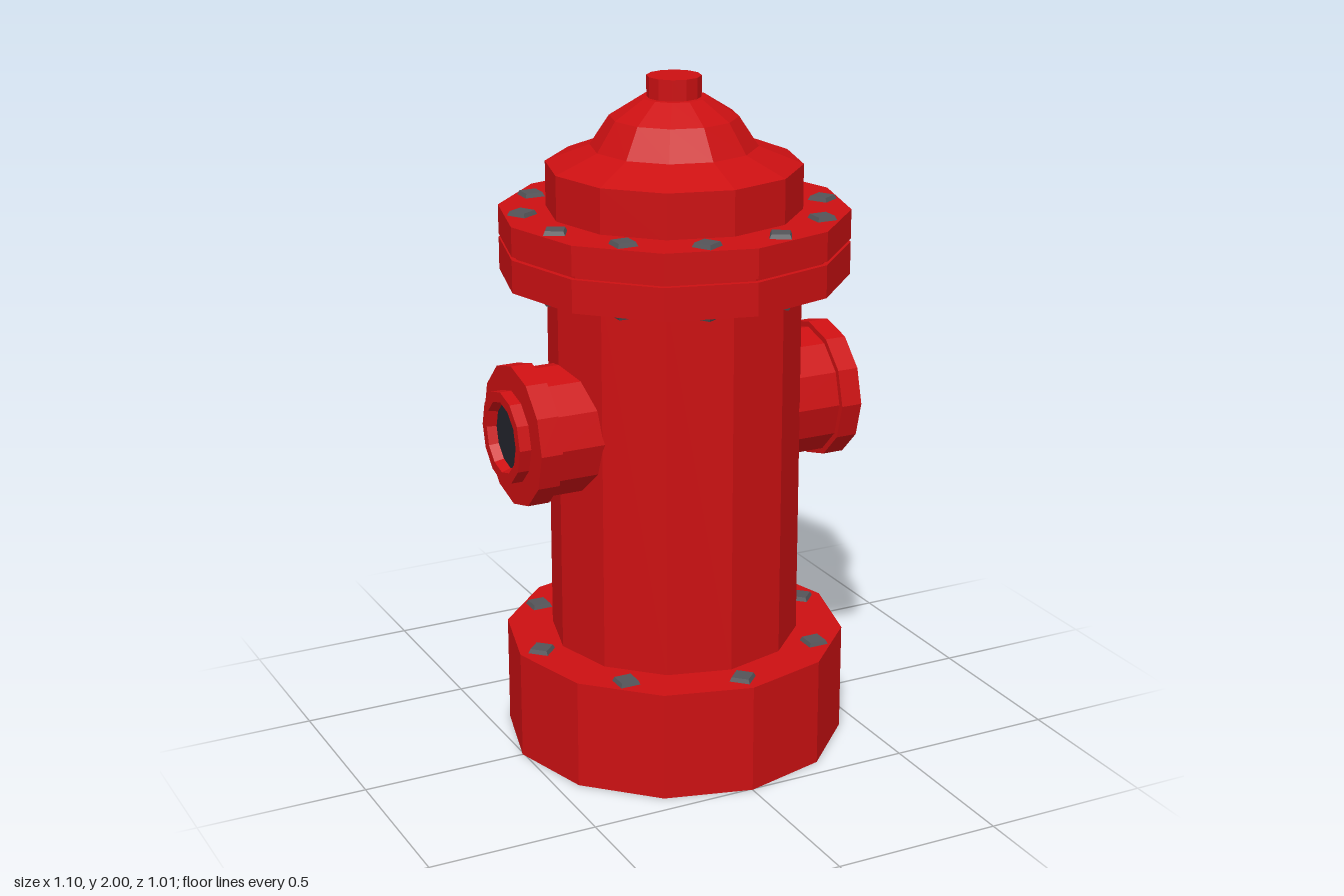
import * as THREE from 'three';

export function createModel() {
  const red = new THREE.MeshStandardMaterial({ color: 0xcc1012, flatShading: true, side: THREE.DoubleSide });
  red.name = 'hydrant red';
  const steel = new THREE.MeshStandardMaterial({ color: 0x545458, flatShading: true });
  steel.name = 'bolt grey';
  const dark = new THREE.MeshStandardMaterial({ color: 0x23242c, flatShading: true });
  dark.name = 'opening dark';

  const model = new THREE.Group();
  model.name = 'fireHydrant';

  // Twelve-sided turned part from [radius, height] pairs, bottom to top
  function turned(name, profile, parent = model) {
    const points = profile.map(([r, y]) => new THREE.Vector2(r, y));
    const mesh = new THREE.Mesh(new THREE.LatheGeometry(points, 12), red);
    mesh.name = name;
    parent.add(mesh);
    return mesh;
  }

  // Hollow base, open underneath
  turned('base', [[0.505, 0], [0.505, 0.325], [0.3, 0.325]]);

  // Barrel
  turned('barrel', [[0, 0.315], [0.368, 0.315], [0.368, 1.45]]);

  // Pair of bolted flanges with a thin gasket between them
  turned('lowerFlange', [[0.34, 1.43], [0.505, 1.43], [0.505, 1.525], [0.34, 1.525]]);
  turned('gasket', [[0.49, 1.52], [0.49, 1.54]]);
  turned('upperFlange', [[0.34, 1.535], [0.505, 1.535], [0.505, 1.62], [0.34, 1.62]]);

  // Bonnet, dome and operating nut
  turned('bonnet', [[0.368, 1.61], [0.368, 1.75], [0.24, 1.8]]);
  turned('dome', [[0.24, 1.8], [0.184, 1.885], [0.096, 1.94], [0, 1.94]]);
  turned('topNut', [[0.078, 1.935], [0.078, 2], [0, 2]]);

  // Ring of square tapered bolt heads; dir = -1 points them downward
  function boltRing(name, count, offset, y, dir, height) {
    const ring = new THREE.Group();
    ring.name = name;
    const head = new THREE.CylinderGeometry(0.036, 0.043, height, 4);
    for (let i = 0; i < count; i++) {
      const angle = offset + (i / count) * Math.PI * 2;
      const bolt = new THREE.Mesh(head, steel);
      bolt.name = 'bolt';
      bolt.position.set(Math.sin(angle) * 0.437, y + dir * height / 2, Math.cos(angle) * 0.437);
      bolt.rotation.set(dir < 0 ? Math.PI : 0, angle, 0, 'YXZ');
      ring.add(bolt);
    }
    model.add(ring);
  }
  boltRing('baseBolts', 8, 0, 0.325, 1, 0.012);
  boltRing('baseBoltEnds', 8, 0, 0.325, -1, 0.02);
  boltRing('upperFlangeBolts', 12, Math.PI / 12, 1.62, 1, 0.012);
  boltRing('lowerFlangeBolts', 12, Math.PI / 12, 1.43, -1, 0.012);

  // Side outlets, turned along their own axis and laid out to each side
  for (const side of [1, -1]) {
    const outlet = new THREE.Group();
    outlet.name = side > 0 ? 'leftOutlet' : 'rightOutlet';
    turned('outletNeck', [[0.19, 0.28], [0.19, 0.45]], outlet);
    turned('outletFlange', [[0.18, 0.45], [0.207, 0.45], [0.207, 0.515], [0.13, 0.515]], outlet);
    turned('outletCollar', [[0.135, 0.51], [0.135, 0.55], [0.105, 0.55], [0.096, 0.52]], outlet);
    const opening = new THREE.Mesh(new THREE.CylinderGeometry(0.098, 0.098, 0.005, 12), dark);
    opening.name = 'outletOpening';
    opening.position.y = 0.52;
    outlet.add(opening);
    outlet.position.y = 1.01;
    outlet.rotation.z = -side * Math.PI / 2;
    model.add(outlet);
  }

  return model;
}
